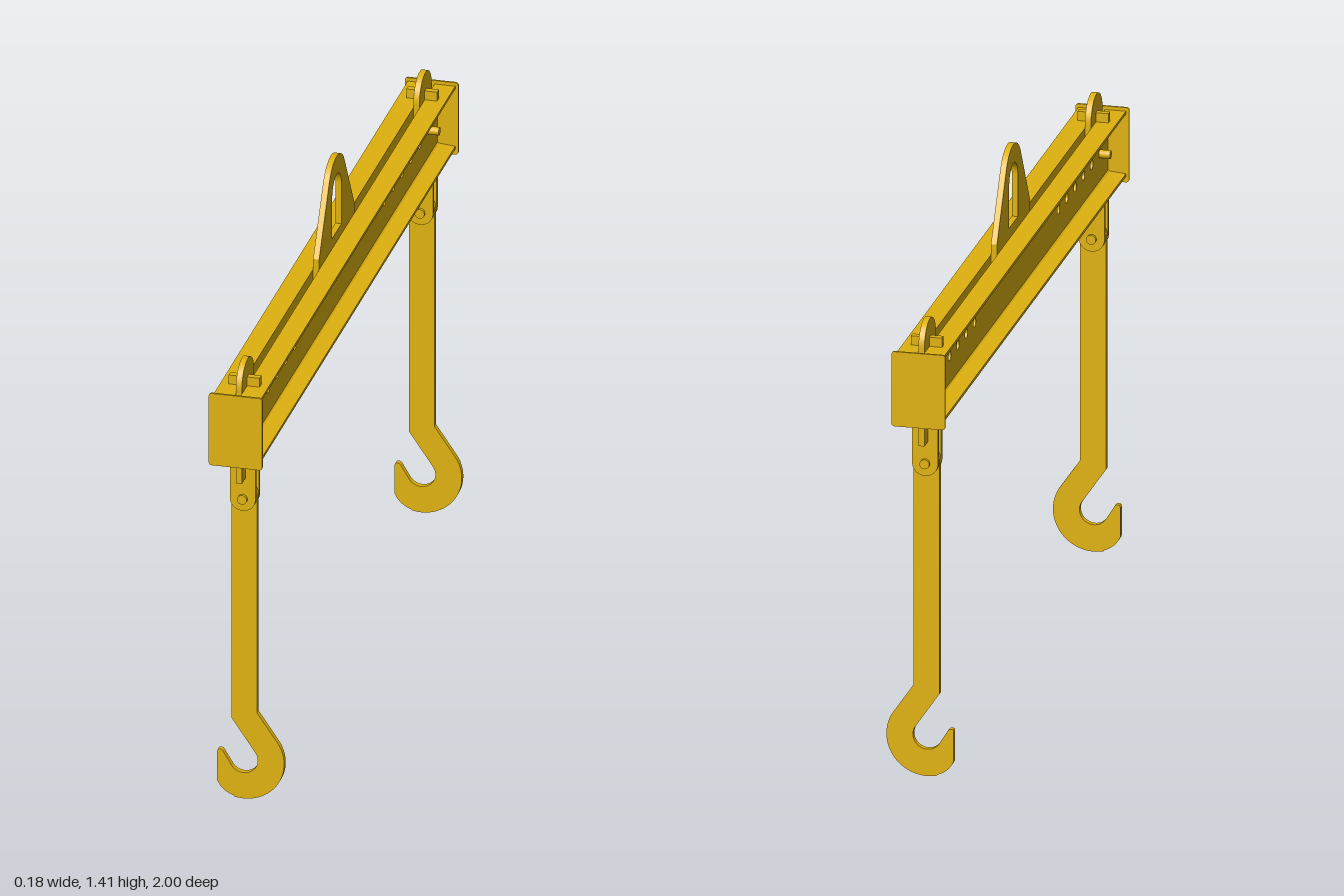
import * as THREE from 'three';

const mat = new THREE.MeshStandardMaterial({ color: 0xdfb20f });
const CX = -0.018; // centre plane of the beam
const BEAM_Y = 1.08;
const HANGER_Z = 0.903;

function add(parent, name, geo, x = 0, y = 0, z = 0) {
  const mesh = new THREE.Mesh(geo, mat);
  mesh.name = name;
  mesh.position.set(x, y, z);
  parent.add(mesh);
  return mesh;
}

// Plate in the XY plane, centred on its thickness
function plate(shape, depth) {
  return new THREE.ExtrudeGeometry(shape, { depth, bevelEnabled: false, curveSegments: 20 })
    .translate(0, 0, -depth / 2);
}

// Plate whose shape runs along Z
const sidePlate = (shape, depth) => plate(shape, depth).rotateY(-Math.PI / 2);

function circleHole(x, y, r) {
  const path = new THREE.Path();
  path.absarc(x, y, r, 0, Math.PI * 2, true);
  return path;
}

function roundedRect(w, h, r) {
  const s = new THREE.Shape();
  const x = w / 2 - r, y = h / 2 - r;
  s.absarc(x, y, r, 0, Math.PI / 2);
  s.absarc(-x, y, r, Math.PI / 2, Math.PI);
  s.absarc(-x, -y, r, Math.PI, Math.PI * 1.5);
  s.absarc(x, -y, r, Math.PI * 1.5, Math.PI * 2);
  s.closePath();
  return s;
}

// Channel: drilled web beside the centre gap, tapered flanges pointing outwards
function channel(side) {
  const g = new THREE.Group();
  g.name = side > 0 ? 'leftChannel' : 'rightChannel';
  const web = new THREE.Shape();
  web.moveTo(-0.996, -0.089);
  web.lineTo(0.996, -0.089);
  web.lineTo(0.996, 0.089);
  web.lineTo(-0.996, 0.089);
  web.closePath();
  for (const end of [-1, 1])
    for (let i = 0; i < 5; i++) web.holes.push(circleHole(end * (0.455 + i * 0.09), 0, 0.013));
  add(g, 'web', sidePlate(web, 0.008), CX + side * 0.012, BEAM_Y, 0);
  for (const v of [-1, 1]) {
    const f = new THREE.Shape();
    f.moveTo(side * 0.008, v * 0.089);
    f.lineTo(side * 0.063, v * 0.089);
    f.lineTo(side * 0.063, v * 0.081);
    f.lineTo(side * 0.02, v * 0.077);
    f.lineTo(side * 0.014, v * 0.072);
    f.lineTo(side * 0.008, v * 0.072);
    f.closePath();
    add(g, 'flange', plate(f, 1.992), CX, BEAM_Y, 0);
  }
  return g;
}

// Central lifting eye
function liftingEye() {
  const s = new THREE.Shape();
  s.moveTo(-0.16, 0.962);
  s.lineTo(0.16, 0.962);
  s.quadraticCurveTo(0.18, 0.962, 0.18, 0.982);
  s.lineTo(0.18, 1.198);
  s.absarc(0, 1.318, 0.092, Math.PI / 6, Math.PI * 5 / 6);
  s.lineTo(-0.18, 1.198);
  s.lineTo(-0.18, 0.982);
  s.quadraticCurveTo(-0.18, 0.962, -0.16, 0.962);
  const slot = new THREE.Path();
  slot.moveTo(-0.047, 1.198);
  slot.lineTo(-0.047, 1.312);
  slot.absarc(0, 1.312, 0.047, Math.PI, 0, true);
  slot.lineTo(0.047, 1.198);
  slot.closePath();
  s.holes.push(slot);
  return sidePlate(s, 0.016);
}

// Round-topped lug that carries a hook
function hangerLug() {
  const s = new THREE.Shape();
  s.moveTo(-0.063, 0.915);
  s.lineTo(0.063, 0.915);
  s.lineTo(0.063, 1.18);
  s.absarc(0, 1.18, 0.063, 0, Math.PI);
  s.closePath();
  return sidePlate(s, 0.016);
}

function clevisPlate() {
  const s = new THREE.Shape();
  s.moveTo(0.034, 0.976);
  s.lineTo(-0.034, 0.976);
  s.lineTo(-0.034, 0.855);
  s.absarc(0, 0.855, 0.034, Math.PI, Math.PI * 2);
  s.closePath();
  return plate(s, 0.012);
}

// Flat hook with its shank
function hook() {
  const s = new THREE.Shape();
  s.moveTo(0.016, 0.86);
  s.absarc(-0.018, 0.86, 0.034, 0, Math.PI);
  s.lineTo(-0.052, 0.225);
  s.lineTo(0.009, 0.136);
  s.absarc(-0.02, 0.111, 0.038, 0.7, -2.5, true);
  s.lineTo(-0.074, 0.127);
  s.quadraticCurveTo(-0.08, 0.135, -0.088, 0.131);
  s.lineTo(-0.09, 0.126);
  s.lineTo(-0.09, 0.045);
  s.quadraticCurveTo(-0.078, 0.016, -0.045, 0.005);
  s.absarc(-0.02, 0.108, 0.108, -1.81, 0.56);
  s.lineTo(0.016, 0.246);
  s.closePath();
  return plate(s, 0.016);
}

// Lug, pin, keeper bar, clevis, bolt and hook at one end
function hanger() {
  const g = new THREE.Group();
  g.name = 'hanger';
  add(g, 'hangerLug', hangerLug(), CX);
  add(g, 'keeperBar', new THREE.BoxGeometry(0.082, 0.025, 0.018), CX, 1.1815);
  add(g, 'lockPin', new THREE.CylinderGeometry(0.011, 0.011, 0.09, 20).rotateZ(Math.PI / 2), CX, BEAM_Y);
  for (const v of [-1, 1]) add(g, 'clevisPlate', clevisPlate(), CX, 0, v * 0.018);
  add(g, 'clevisBolt', new THREE.CylinderGeometry(0.013, 0.013, 0.064, 20).rotateX(Math.PI / 2), CX, 0.855);
  add(g, 'hook', hook());
  return g;
}

export function createModel() {
  const model = new THREE.Group();
  model.name = 'liftingBeam';
  for (const side of [-1, 1]) model.add(channel(side));
  add(model, 'liftingEye', liftingEye(), CX);
  for (const end of [-1, 1]) {
    add(model, 'endPlate', plate(roundedRect(0.142, 0.203, 0.008), 0.006), CX, 1.077, end * 0.997);
    const h = hanger();
    h.position.z = end * HANGER_Z;
    model.add(h);
  }
  return model;
}
